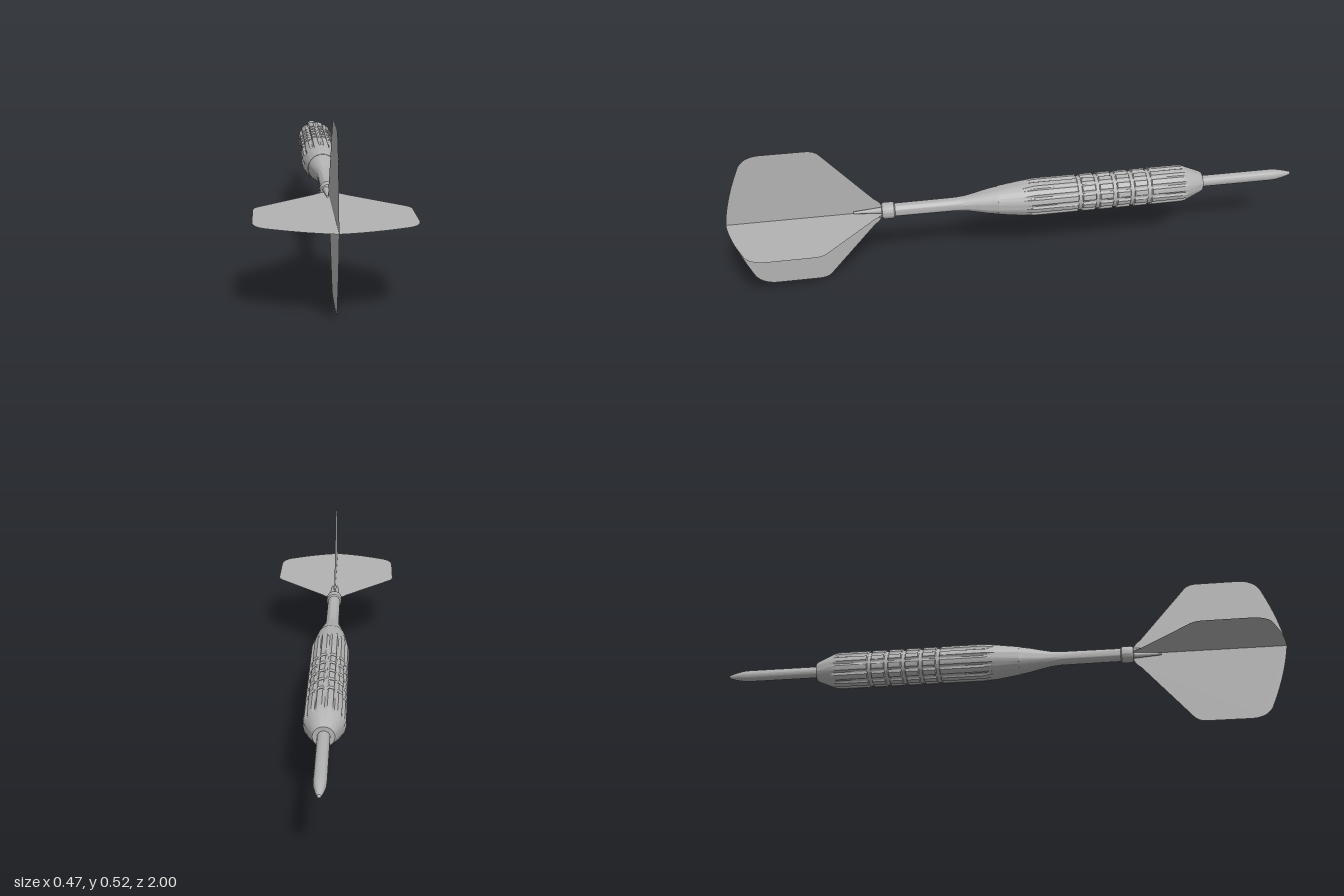
import * as THREE from 'three';
import { toCreasedNormals } from 'three/addons/utils/BufferGeometryUtils.js';

export function createModel() {
  const model = new THREE.Group();
  const dart = new THREE.Group();
  dart.name = 'dart';
  model.add(dart);

  const grey = new THREE.MeshStandardMaterial({ color: 0xb2b2b2, side: THREE.DoubleSide });
  grey.name = 'grey';

  const add = (name, geometry, parent = dart) => {
    const mesh = new THREE.Mesh(geometry, grey);
    mesh.name = name;
    parent.add(mesh);
    return mesh;
  };

  // Turned part along z; profile points are [radius, z] with z rising
  const turned = (profile, sides) =>
    new THREE.LatheGeometry(profile.map(([r, z]) => new THREE.Vector2(r, z)), sides).rotateX(Math.PI / 2);

  // Steel point
  add('point', toCreasedNormals(turned([
    [0, -1], [0.006, -0.995], [0.013, -0.97], [0.019, -0.94], [0.02, -0.92], [0.02, -0.65],
  ], 24), 0.5));

  // Barrel: nose, gripped middle with ring grooves, tapered rear
  const R = 0.067;
  const profile = [[0, -0.662], [0.034, -0.662], [0.038, -0.655], [0.058, -0.607], [0.065, -0.59], [R, -0.575]];
  for (let i = 0; i < 5; i++) {
    const z = -0.46 + i * 0.062;
    profile.push([R, z - 0.009], [0.061, z - 0.006], [0.061, z + 0.006], [R, z + 0.009]);
  }
  profile.push([R, -0.055], [0.062, -0.01], [0.05, 0.075], [0, 0.075]);

  // Lengthwise flutes: the radius is capped inside twelve shallow scallops
  const barrel = turned(profile, 96);
  const pos = barrel.attributes.position;
  for (let i = 0; i < pos.count; i++) {
    const x = pos.getX(i), y = pos.getY(i), r = Math.hypot(x, y);
    if (r < 0.001) continue;
    const wave = Math.cos(12 * Math.atan2(y, x));
    const cap = R - 0.006 * Math.max(0, wave);
    const k = Math.min(r, cap) / r;
    pos.setXY(i, x * k, y * k);
  }
  add('barrel', toCreasedNormals(barrel, 0.45));

  // Stem with flared front and collar
  add('stem', toCreasedNormals(turned([
    [0, 0.075], [0.049, 0.075], [0.043, 0.11], [0.034, 0.15], [0.027, 0.185], [0.024, 0.22], [0.023, 0.43],
    [0.028, 0.434], [0.029, 0.44], [0.029, 0.466], [0.026, 0.474], [0.022, 0.476], [0, 0.476],
  ], 32), 0.5));

  // Four prongs gripping the flight between its fins
  const prongs = new THREE.Group();
  prongs.name = 'prongs';
  dart.add(prongs);
  for (let i = 0; i < 4; i++) {
    const a = Math.PI / 4 + i * Math.PI / 2;
    const prong = new THREE.CylinderGeometry(0.004, 0.011, 0.1, 10).rotateX(Math.PI / 2);
    prong.translate(Math.cos(a) * 0.012, Math.sin(a) * 0.012, 0.522);
    add('prong', prong, prongs);
  }

  // Flight: one full blade outline, used upright and level
  const blade = (half) => {
    const s = new THREE.Shape();
    const side = (m) => (u, z) => [m * u * half, z];
    const p = side(1), q = side(-1);
    s.moveTo(0, 0.47);
    s.quadraticCurveTo(...p(0.12, 0.47), ...p(0.2, 0.5));
    s.lineTo(...p(0.93, 0.665));
    s.quadraticCurveTo(...p(1, 0.68), ...p(1, 0.71));
    s.lineTo(...p(1, 0.86));
    s.quadraticCurveTo(...p(0.99, 0.91), ...p(0.86, 0.93));
    s.quadraticCurveTo(...p(0.4, 0.985), 0, 1);
    s.quadraticCurveTo(...q(0.4, 0.985), ...q(0.86, 0.93));
    s.quadraticCurveTo(...q(0.99, 0.91), ...q(1, 0.86));
    s.lineTo(...q(1, 0.71));
    s.quadraticCurveTo(...q(1, 0.68), ...q(0.93, 0.665));
    s.lineTo(...q(0.2, 0.5));
    s.quadraticCurveTo(...q(0.12, 0.47), 0, 0.47);
    return new THREE.ShapeGeometry(s, 10).rotateX(Math.PI / 2);
  };
  add('levelFins', blade(0.232));
  add('uprightFins', blade(0.2625).rotateZ(Math.PI / 2));

  // The dart lies slightly turned about the vertical
  dart.rotation.y = -0.047;
  dart.position.set(0.0375, 0.2625, 0);
  return model;
}
